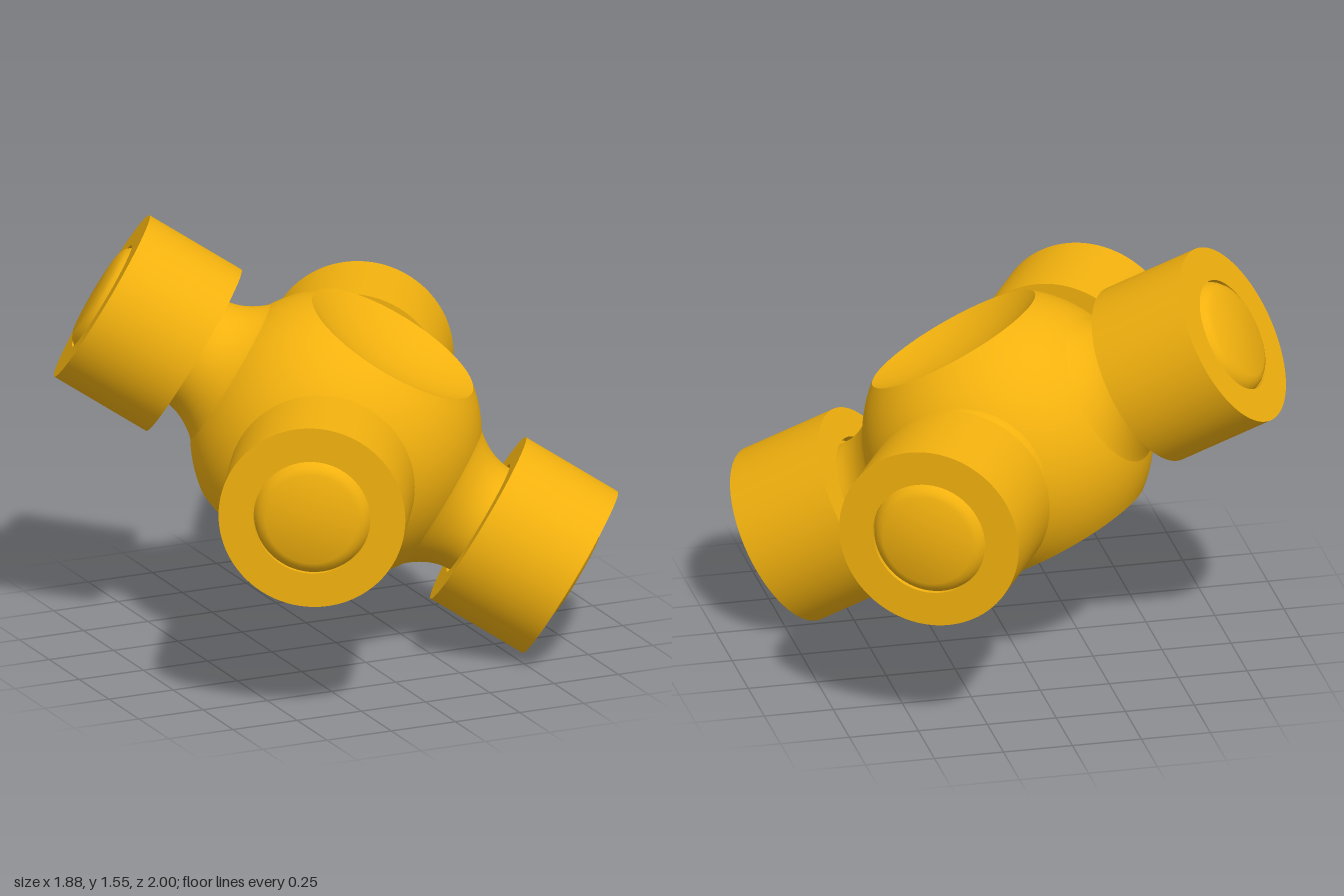
import * as THREE from 'three';
import { toCreasedNormals } from 'three/addons/utils/BufferGeometryUtils.js';

const material = new THREE.MeshStandardMaterial({ color: 0xf2b10e });
const CENTRE_Y = 0.775;
const UP = new THREE.Vector3(0, 1, 0);

// Solid of revolution from [radius, height] pairs, bottom to top
function revolve(name, profile) {
  const points = profile.map(([r, h]) => new THREE.Vector2(r, h));
  const geometry = toCreasedNormals(new THREE.LatheGeometry(points, 96), 0.5);
  const mesh = new THREE.Mesh(geometry, material);
  mesh.name = name;
  return mesh;
}

// Ball with a shallow round dish cut into both poles
function createHub() {
  const R = 0.515, rim = 0.33, rimHeight = Math.sqrt(R * R - rim * rim), depth = 0.08;
  const bowlR = (rim * rim + depth * depth) / (2 * depth);
  const bowl = [];
  for (let i = 0; i <= 10; i++) {
    const r = (rim * i) / 10;
    bowl.push([r, rimHeight - depth + bowlR - Math.sqrt(bowlR * bowlR - r * r)]);
  }
  const side = [];
  const limit = Math.asin(rimHeight / R);
  for (let i = 1; i < 32; i++) {
    const a = -limit + (2 * limit * i) / 32;
    side.push([R * Math.cos(a), R * Math.sin(a)]);
  }
  const lower = bowl.map(([r, h]) => [r, -h]);
  return revolve('hub', [...lower, ...side, ...[...bowl].reverse()]);
}

// One arm along +y: flared neck, bearing cap and end plug
function createArm(name, hasDimple) {
  const arm = new THREE.Group();
  arm.name = name;

  const flare = new THREE.SplineCurve([
    [0.295, 0.415], [0.262, 0.45], [0.23, 0.5], [0.212, 0.55], [0.207, 0.6], [0.207, 0.64],
  ].map(([x, y]) => new THREE.Vector2(x, y)));
  arm.add(revolve('neck', flare.getPoints(24).map((p) => [p.x, p.y])));

  arm.add(revolve('bearingCap', [
    [0.205, 0.625], [0.22, 0.625], [0.22, 0.585], [0.331, 0.585],
    [0.331, 0.963], [0.207, 0.963], [0.207, 0.945], [0.15, 0.945],
  ]));

  const plug = [[0.207, 0.945], [0.2, 0.958], [0.185, 0.975], [0.164, 0.985]];
  if (hasDimple) plug.push([0.065, 0.985], [0.065, 0.97]);
  plug.push([0, hasDimple ? 0.97 : 0.985]);
  arm.add(revolve('endPlug', plug));
  return arm;
}

export function createModel() {
  const model = new THREE.Group();
  model.name = 'universalJointCross';

  // Two perpendicular arm axes, the second tilted downwards
  const tilt = THREE.MathUtils.degToRad(30.5);
  const yaw = THREE.MathUtils.degToRad(30);
  const levelAxis = new THREE.Vector3(-Math.sin(yaw), 0, Math.cos(yaw));
  const tiltedAxis = new THREE.Vector3(
    Math.cos(yaw) * Math.cos(tilt), -Math.sin(tilt), Math.sin(yaw) * Math.cos(tilt));
  const hubAxis = levelAxis.clone().cross(tiltedAxis).normalize();

  const place = (part, axis) => {
    part.quaternion.setFromUnitVectors(UP, axis);
    part.position.y = CENTRE_Y;
    model.add(part);
  };

  place(createHub(), hubAxis);
  place(createArm('frontArm', false), levelAxis);
  place(createArm('backArm', false), levelAxis.clone().negate());
  place(createArm('leftArm', true), tiltedAxis);
  place(createArm('rightArm', false), tiltedAxis.clone().negate());
  return model;
}
